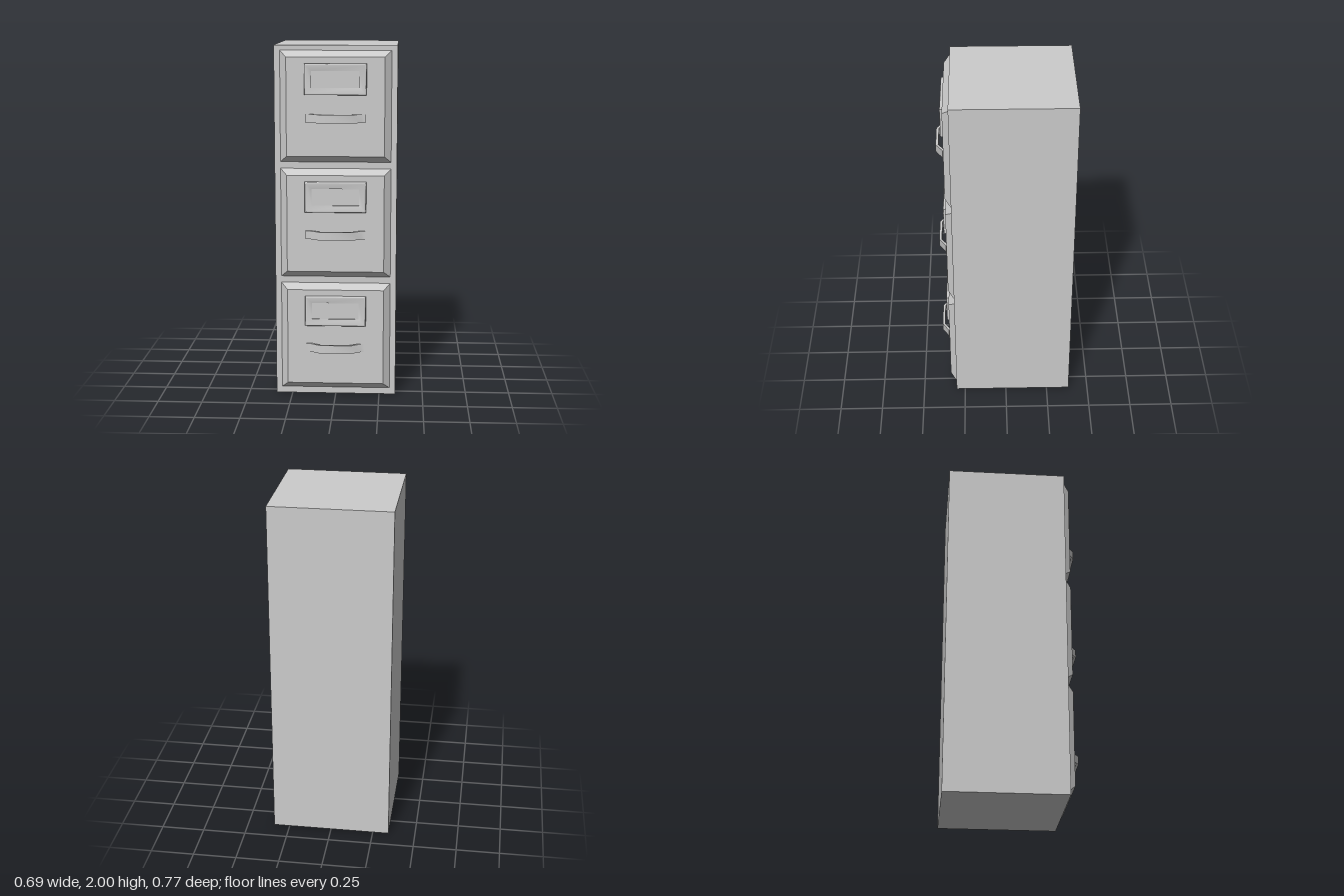
import * as THREE from 'three';
import { toCreasedNormals } from 'three/addons/utils/BufferGeometryUtils.js';

const material = new THREE.MeshStandardMaterial({ color: 0xcccccc });

function addMesh(parent, name, geometry) {
  const mesh = new THREE.Mesh(geometry, material);
  mesh.name = name;
  parent.add(mesh);
  return mesh;
}

// Skin through rectangles [halfWidth, halfHeight, z], optionally capped at the last one
function rectLoft(sections, capped, crease) {
  const loops = sections.map(([w, h, z]) => [[-w, -h, z], [w, -h, z], [w, h, z], [-w, h, z]]);
  const positions = [];
  const quad = (a, b, c, d) => positions.push(...a, ...b, ...c, ...a, ...c, ...d);
  for (let s = 0; s < loops.length - 1; s++) {
    for (let i = 0; i < 4; i++) {
      const j = (i + 1) % 4;
      quad(loops[s][i], loops[s][j], loops[s + 1][j], loops[s + 1][i]);
    }
  }
  if (capped) quad(...loops[loops.length - 1]);
  const geometry = new THREE.BufferGeometry();
  geometry.setAttribute('position', new THREE.Float32BufferAttribute(positions, 3));
  return toCreasedNormals(geometry, crease);
}

// Bent strap pull: half profile in x and z, mirrored, extruded along y
function handleGeometry(height) {
  const outer = [[0.167, 0], [0.167, 0.008], [0.147, 0.008], [0.087, 0.047]];
  const inner = [[0.085, 0.032], [0.136, 0]];
  const half = [...inner.slice().reverse(), ...outer.slice().reverse()];
  const right = [...inner, ...outer];
  const left = right.map(([x, z]) => [-x, z]).reverse();
  const shape = new THREE.Shape([...right, ...left].map(([x, z]) => new THREE.Vector2(x, -z)));
  const geometry = new THREE.ExtrudeGeometry(shape, { depth: height, bevelEnabled: false });
  geometry.translate(0, 0, -height / 2);
  geometry.rotateX(-Math.PI / 2);
  return toCreasedNormals(geometry, 0.7);
}

export function createModel() {
  const cabinet = new THREE.Group();
  cabinet.name = 'filingCabinet';

  // Plain outer case
  const body = addMesh(cabinet, 'cabinetBody', new THREE.BoxGeometry(0.686, 2, 0.687));
  body.position.set(0, 1, -0.0415);

  // Shared drawer parts
  const frontZ = 0.035;
  const panel = rectLoft([[0.31, 0.31, 0], [0.273, 0.275, frontZ]], true, 0.3);
  const labelFrame = rectLoft([
    [0.173, 0.087, 0], [0.172, 0.086, 0.012], [0.168, 0.082, 0.016],
    [0.162, 0.076, 0.016], [0.133, 0.047, 0.008], [0.133, 0.047, 0],
  ], false, 0.9);
  const handle = handleGeometry(0.047);

  // Three identical drawers
  for (let i = 0; i < 3; i++) {
    const drawer = new THREE.Group();
    drawer.name = 'drawer' + (i + 1);
    drawer.position.set(0, 0.347 + i * 0.657, 0.302);
    addMesh(drawer, 'drawerFront', panel);
    addMesh(drawer, 'labelHolder', labelFrame).position.set(0, 0.153, frontZ);
    addMesh(drawer, 'handle', handle).position.set(0, -0.062, frontZ);
    cabinet.add(drawer);
  }
  return cabinet;
}
